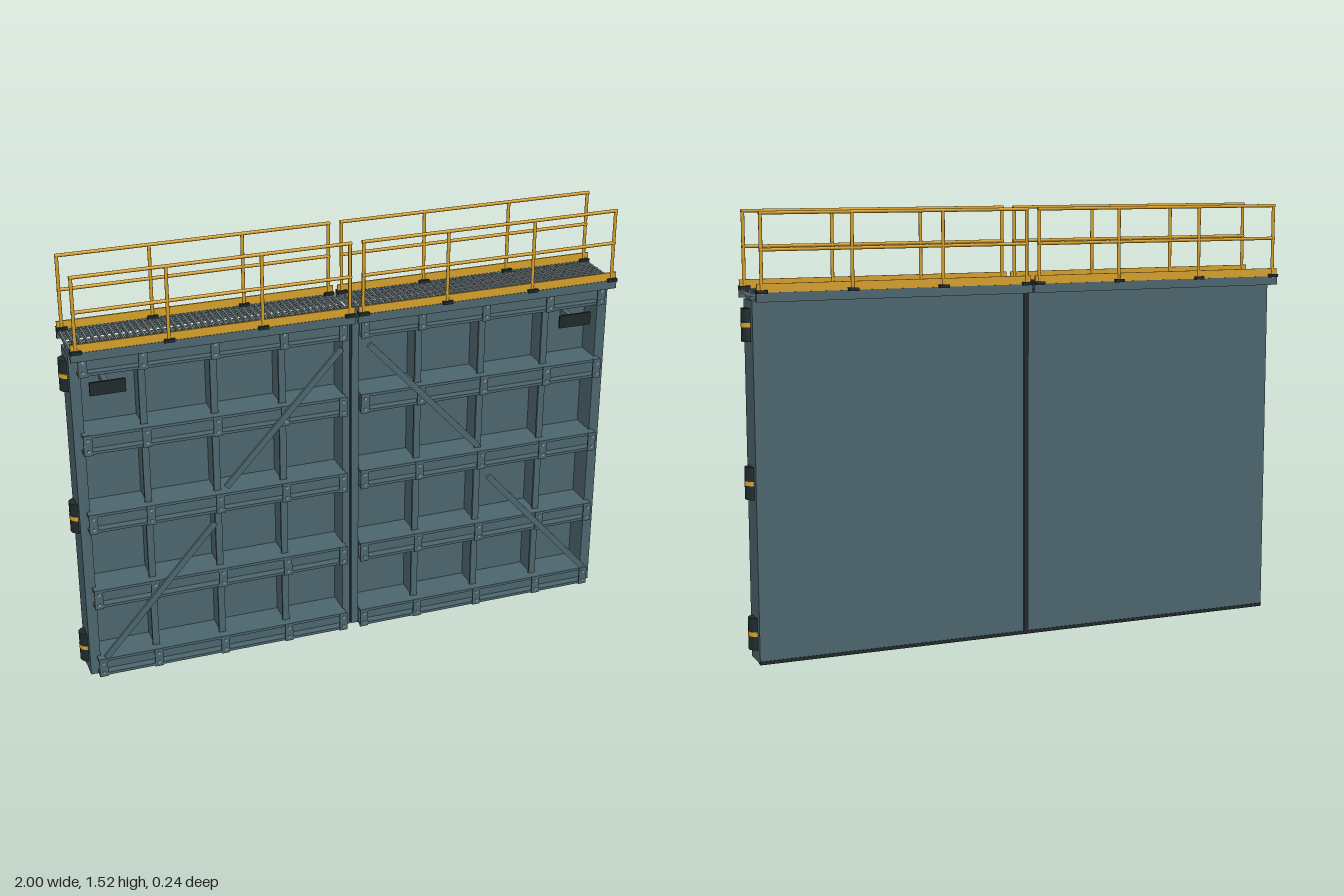
import * as THREE from 'three';

const mat = (name, color) => {
  const m = new THREE.MeshStandardMaterial({ color });
  m.name = name;
  return m;
};

export function createModel() {
  const steel = mat('teal steel', 0x4d666e);
  const yellow = mat('safety yellow', 0xd6a02c);
  const black = mat('black rubber', 0x20292b);
  const grey = mat('galvanised grey', 0x7e8a8d);
  const bolt = mat('bolt grey', 0x8b999d);

  const root = new THREE.Group();
  root.name = 'lockGate';

  const add = (parent, name, geo, material, x, y, z) => {
    const m = new THREE.Mesh(geo, material);
    m.name = name;
    m.position.set(x, y, z);
    parent.add(m);
    return m;
  };
  // box given by its limits on each axis
  const box = (parent, name, material, x0, x1, y0, y1, z0, z1) =>
    add(parent, name, new THREE.BoxGeometry(Math.abs(x1 - x0), y1 - y0, z1 - z0), material,
      (x0 + x1) / 2, (y0 + y1) / 2, (z0 + z1) / 2);
  // round bar between two points
  const bar = (parent, name, material, a, b, r) => {
    const p = new THREE.Vector3(...a), q = new THREE.Vector3(...b);
    const d = q.clone().sub(p);
    const m = add(parent, name, new THREE.CylinderGeometry(r, r, d.length(), 10), material,
      ...p.clone().add(q).multiplyScalar(0.5).toArray());
    m.quaternion.setFromUnitVectors(new THREE.Vector3(0, 1, 0), d.normalize());
  };

  const girders = [[0.01, 0.077], [0.285, 0.355], [0.58, 0.65], [0.875, 0.945], [1.158, 1.225]];
  const ribs = [0.25, 0.49, 0.735];
  const clips = [0.04, ...ribs, 0.935];
  const boltGeo = new THREE.CylinderGeometry(0.005, 0.005, 0.005, 8).rotateX(Math.PI / 2);

  for (const s of [-1, 1]) {
    const leaf = new THREE.Group();
    leaf.name = s > 0 ? 'leftLeaf' : 'rightLeaf';
    root.add(leaf);

    // skin plate and end posts
    box(leaf, 'skinPlate', steel, s * 0.008, s * 0.975, 0.012, 1.225, -0.05, -0.038);
    box(leaf, 'hingePost', steel, s * 0.938, s * 0.975, 0.005, 1.225, -0.04, 0.056);
    box(leaf, 'meetingPost', steel, s * 0.004, s * 0.03, 0.005, 1.225, -0.04, 0.05);
    box(leaf, 'bottomSeal', black, s * 0.008, s * 0.975, 0, 0.012, -0.052, -0.03);

    // vertical T ribs
    for (const x of ribs) {
      box(leaf, 'ribWeb', steel, s * x - 0.005, s * x + 0.005, 0.02, 1.2, -0.038, 0.046);
      box(leaf, 'ribFlange', steel, s * x - 0.012, s * x + 0.012, 0.02, 1.2, 0.044, 0.054);
    }

    // horizontal girders: deep web, two projecting shelves, bolted clips
    for (const [y0, y1] of girders) {
      box(leaf, 'girder', steel, s * 0.03, s * 0.94, y0 + 0.002, y1 - 0.002, -0.038, 0.056);
      for (const y of [y0, y1 - 0.01])
        box(leaf, 'girderFlange', steel, s * 0.027, s * 0.95, y, y + 0.01, 0.055, 0.085);
      for (const x of clips) {
        box(leaf, 'girderClip', steel, s * x - 0.015, s * x + 0.015, y0 - 0.002, y1 + 0.002, 0.083, 0.089);
        for (const y of [y0 + 0.015, y1 - 0.015])
          add(leaf, 'bolt', boltGeo, bolt, s * x, y, 0.09);
      }
    }

    // diagonal braces
    for (const [x0, y0, x1, y1] of [[0.47, 0.68, 0.05, 1.135], [0.925, 0.09, 0.515, 0.55]]) {
      const dx = s * (x1 - x0), dy = y1 - y0;
      const brace = add(leaf, 'diagonalBrace', new THREE.BoxGeometry(Math.hypot(dx, dy), 0.022, 0.01),
        steel, s * (x0 + x1) / 2, (y0 + y1) / 2, 0.096);
      brace.rotation.z = Math.atan2(dy, dx);
    }

    // dark sign plate on a short arm
    box(leaf, 'signPlate', black, s * 0.79, s * 0.912, 1.075, 1.122, 0.052, 0.06);
    box(leaf, 'signArm', steel, s * 0.84, s * 0.86, 1.09, 1.108, -0.038, 0.052);

    // hinge rollers with yellow bands
    for (const y of [0.1, 0.615, 1.143]) {
      add(leaf, 'hingeRoller', new THREE.CylinderGeometry(0.028, 0.028, 0.11, 20), black, s * 0.971, y, 0.003);
      add(leaf, 'hingeBand', new THREE.CylinderGeometry(0.029, 0.029, 0.015, 20), yellow, s * 0.971, y, 0.003);
    }

    // walkway support and grating
    box(leaf, 'walkwayBeam', steel, s * 0.01, s * 0.97, 1.225, 1.238, -0.01, 0.05);
    for (let i = 0; i < 42; i++) {
      const x = s * (0.012 + i * 0.0233);
      box(leaf, 'gratingBar', grey, x - 0.003, x + 0.003, 1.238, 1.254, -0.105, 0.105);
    }
    for (let z = -0.09; z < 0.1; z += 0.03)
      box(leaf, 'gratingRod', grey, s * 0.008, s * 0.975, 1.248, 1.253, z - 0.002, z + 0.002);

    // edge beams, kick plates and handrails on both sides
    for (const t of [-1, 1]) {
      const z = t * 0.108;
      box(leaf, 'edgeBeam', steel, s * 0.004, s * 0.977, 1.224, 1.255, z - 0.005, z + 0.005);
      box(leaf, 'kickPlate', yellow, s * 0.008, s * 0.975, 1.255, 1.284, z - 0.003, z + 0.003);
      for (const x of [0.024, 0.33, 0.65, 0.958]) {
        bar(leaf, 'railPost', yellow, [s * x, 1.25, z], [s * x, 1.512, z], 0.006);
        box(leaf, 'railFoot', black, s * x - 0.018, s * x + 0.018, 1.252, 1.263, z - 0.014, z + 0.014);
      }
      for (const y of [1.393, 1.511])
        bar(leaf, 'handrail', yellow, [s * 0.018, y, z], [s * 0.964, y, z], 0.006);
    }
  }

  // rubber strip where the leaves meet
  box(root, 'meetingSeal', black, -0.009, 0.009, 0, 1.225, -0.053, -0.036);
  box(root, 'meetingCore', black, -0.005, 0.005, 0.005, 1.222, -0.04, 0.045);

  return root;
}
